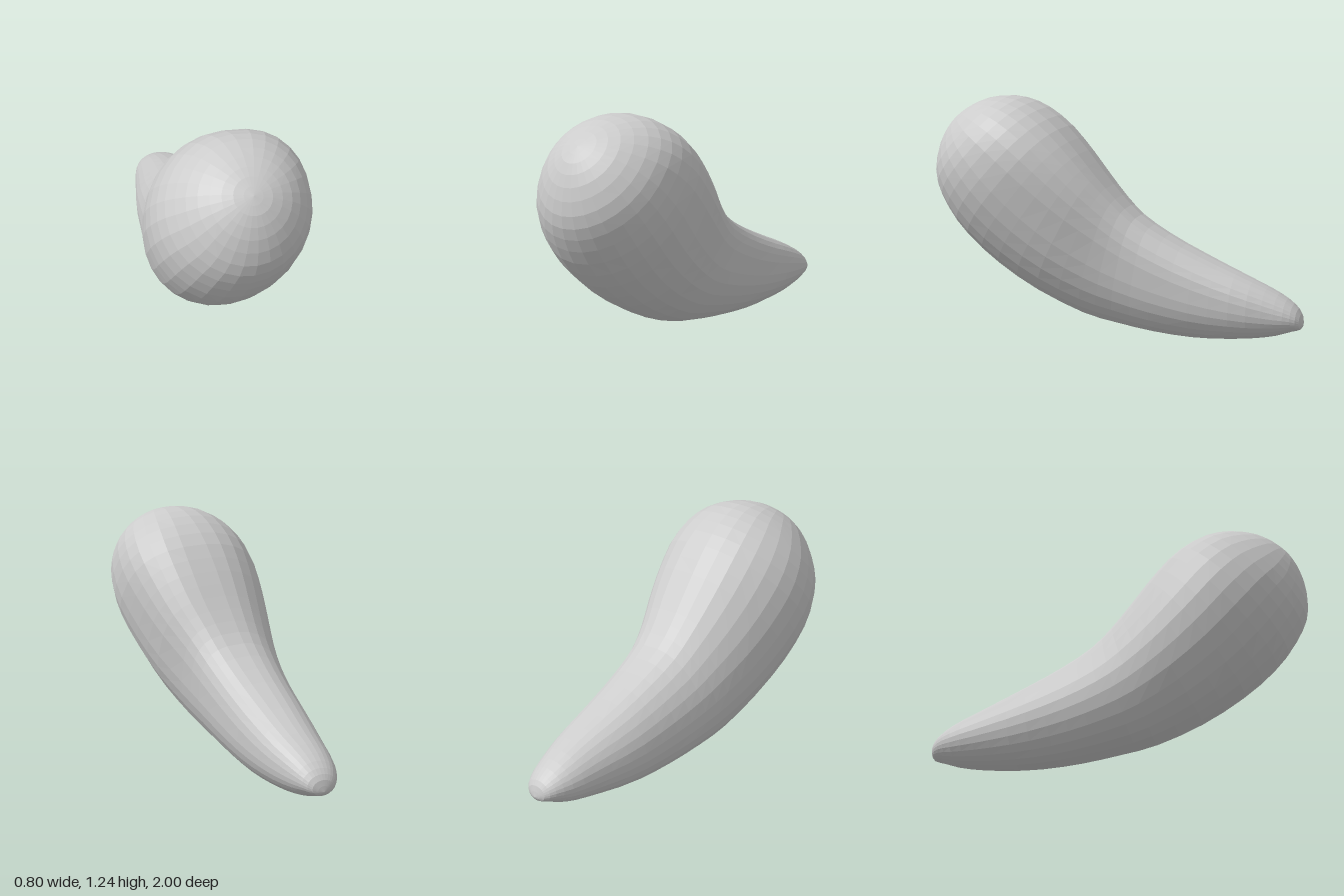
import * as THREE from 'three';

// Tilted cross-sections from the rounded head to the narrow tail:
// [upper z, upper y, lower z, lower y, right x, left x]
const SECTIONS = [
  [0.892, 1.125, 0.892, 1.125, 0.03, 0.03],
  [0.81, 1.185, 0.95, 1.045, -0.07, 0.13],
  [0.70, 1.23, 0.99, 0.925, -0.18, 0.24],
  [0.56, 1.24, 0.997, 0.78, -0.28, 0.335],
  [0.43, 1.20, 0.95, 0.65, -0.36, 0.385],
  [0.30, 1.11, 0.85, 0.50, -0.40, 0.395],
  [0.18, 0.98, 0.68, 0.34, -0.39, 0.36],
  [0.08, 0.855, 0.45, 0.19, -0.357, 0.31],
  [-0.02, 0.735, 0.20, 0.08, -0.315, 0.25],
  [-0.13, 0.63, 0.00, 0.037, -0.285, 0.215],
  [-0.30, 0.53, -0.22, 0.008, -0.255, 0.195],
  [-0.50, 0.437, -0.45, 0, -0.225, 0.18],
  [-0.70, 0.353, -0.68, 0.02, -0.18, 0.16],
  [-0.85, 0.285, -0.84, 0.047, -0.145, 0.125],
  [-0.94, 0.23, -0.935, 0.08, -0.105, 0.095],
  [-0.985, 0.18, -0.985, 0.097, -0.06, 0.06],
  [-1.00, 0.12, -1.00, 0.12, 0, 0],
];
const RINGS = 34;
const SIDES = 28;

function bodyGeometry() {
  // Smooth guide curves through the sections
  const guide = (pick) => new THREE.CatmullRomCurve3(
    SECTIONS.map((s) => new THREE.Vector3(...pick(s))), false, 'catmullrom', 0.5);
  const upper = guide((s) => [0, s[1], s[0]]);
  const lower = guide((s) => [0, s[3], s[2]]);
  const width = guide((s) => [s[4], s[5], 0]);

  const positions = [];
  for (let i = 0; i <= RINGS; i++) {
    const t = i / RINGS;
    const top = upper.getPoint(t);
    const bottom = lower.getPoint(t);
    const { x: right, y: left } = width.getPoint(t);
    const centre = top.clone().add(bottom).multiplyScalar(0.5);
    const up = top.clone().sub(centre);
    // The upper left shoulder is fuller around the neck, and its ridge leans left
    const neck = Math.sin(Math.PI * t) ** 2;
    const shoulder = 1 - 0.38 * neck;
    const lean = 0.022 * neck;
    for (let j = 0; j < SIDES; j++) {
      const a = (j / SIDES) * Math.PI * 2;
      let c = Math.cos(a);
      let s = Math.sin(a);
      if (c > 0 && s > 0) {
        c **= shoulder;
        s **= shoulder;
      }
      const p = centre.clone().addScaledVector(up, s);
      positions.push((right + left) / 2 + c * (left - right) / 2 + s * lean, p.y, p.z);
    }
  }

  // Join neighbouring rings; the end rings are points and need one triangle per side
  const indices = [];
  for (let i = 0; i < RINGS; i++) {
    for (let j = 0; j < SIDES; j++) {
      const a = i * SIDES + j;
      const b = i * SIDES + (j + 1) % SIDES;
      const c = b + SIDES;
      const d = a + SIDES;
      if (i < RINGS - 1) indices.push(a, d, c);
      if (i > 0) indices.push(a, c, b);
    }
  }

  const geometry = new THREE.BufferGeometry();
  geometry.setAttribute('position', new THREE.Float32BufferAttribute(positions, 3));
  geometry.setIndex(indices);
  geometry.computeVertexNormals();
  return geometry;
}

export function createModel() {
  const group = new THREE.Group();
  group.name = 'curvedGourd';
  const material = new THREE.MeshStandardMaterial({ color: 0xcccccc, flatShading: true });
  const body = new THREE.Mesh(bodyGeometry(), material);
  body.name = 'body';
  group.add(body);
  return group;
}
